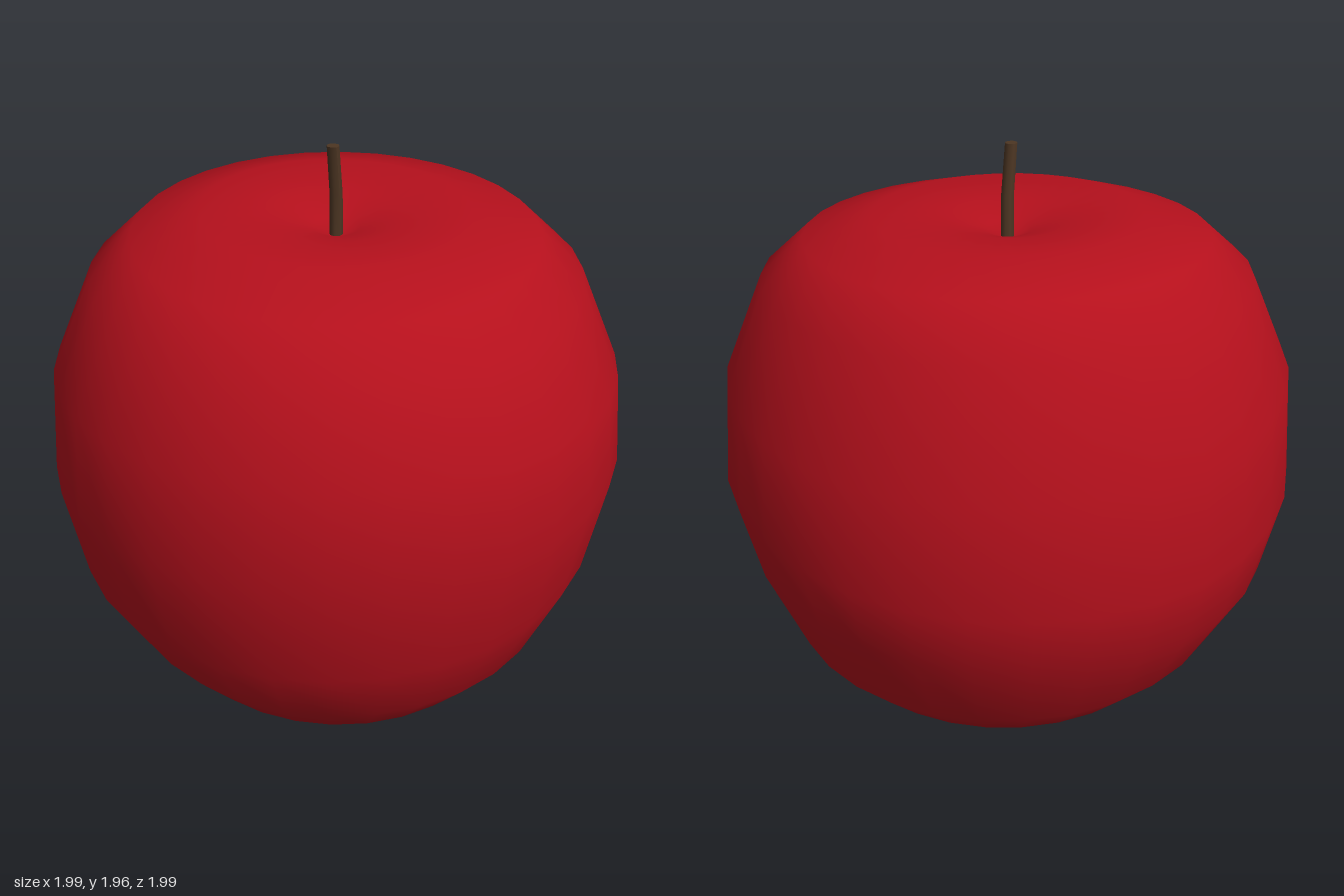
import * as THREE from 'three';
import { mergeVertices } from 'three/addons/utils/BufferGeometryUtils.js';

// Rings from bottom to top: [radius, height, tilt along x, tilt along z]
const RINGS = [
  [0, 0.05, 0, 0],
  [0.09, 0.03, 0, 0],
  [0.21, 0.01, 0.005, 0],
  [0.425, 0.025, 0.005, 0.005],
  [0.645, 0.085, -0.005, -0.015],
  [0.795, 0.255, -0.015, -0.005],
  [0.93, 0.54, 0.03, 0.005],
  [0.995, 0.86, -0.01, 0.07],
  [0.965, 1.215, -0.025, 0.035],
  [0.825, 1.537, 0.005, -0.01],
  [0.68, 1.67, 0.01, -0.02],
  [0.45, 1.736, 0, -0.012],
  [0.22, 1.715, 0, -0.005],
  [0.08, 1.675, 0, 0],
  [0, 1.64, 0, 0],
];

// Lathed body whose rings are each tilted a little, with smooth normals across the seam
function bodyGeometry() {
  const lathe = new THREE.LatheGeometry(RINGS.map(([r, y]) => new THREE.Vector2(r, y)), 32);
  const p = lathe.attributes.position;
  for (let i = 0; i < p.count; i++) {
    const [r, y, tiltX, tiltZ] = RINGS[i % RINGS.length];
    if (r > 0) p.setY(i, y + (tiltX * p.getX(i) + tiltZ * p.getZ(i)) / r);
  }
  lathe.deleteAttribute('uv');
  lathe.deleteAttribute('normal');
  const geometry = mergeVertices(lathe, 1e-4);
  geometry.computeVertexNormals();
  return geometry;
}

// Thin stalk, straight below and leaning over its upper half
function stemGeometry() {
  const geometry = new THREE.CylinderGeometry(0.021, 0.023, 0.34, 8, 2);
  geometry.translate(0, 1.79, 0);
  const p = geometry.attributes.position;
  for (let i = 0; i < p.count; i++) {
    const lean = Math.max(0, p.getY(i) - 1.79) / 0.17;
    p.setX(i, p.getX(i) - 0.02 * lean);
    p.setZ(i, p.getZ(i) + 0.013 * lean);
  }
  geometry.computeVertexNormals();
  return geometry;
}

export function createModel() {
  const group = new THREE.Group();
  group.name = 'apple';
  const add = (name, geometry, color) => {
    const mesh = new THREE.Mesh(geometry, new THREE.MeshStandardMaterial({ color }));
    mesh.name = name;
    group.add(mesh);
  };
  add('body', bodyGeometry(), 0xb5101c);
  add('stem', stemGeometry(), 0x4d3623);
  return group;
}
